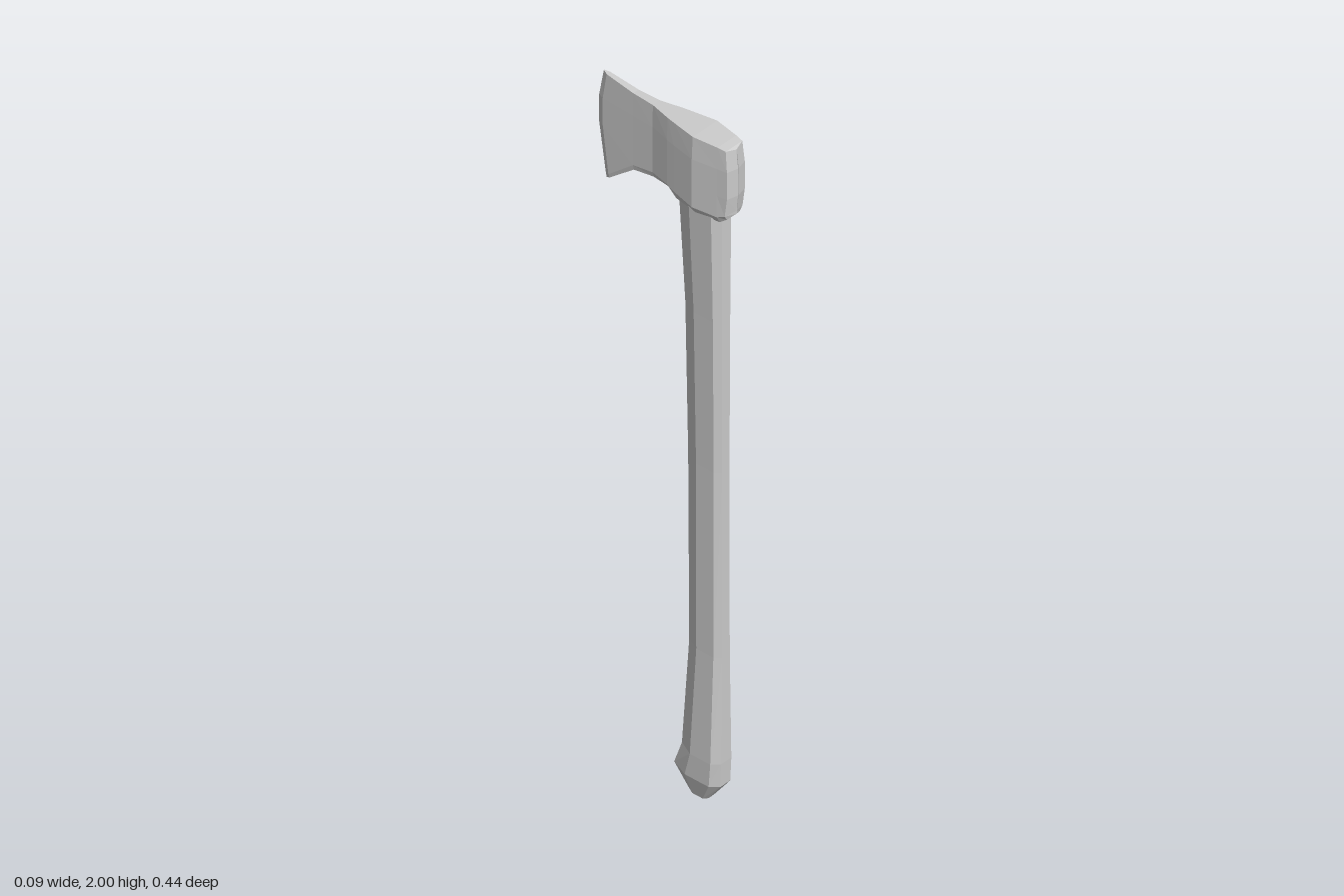
import * as THREE from 'three';

// Skin a list of closed rings (counterclockwise seen along the sweep) and cap both ends.
function loft(rings) {
  const pos = [];
  const tri = (...pts) => pts.forEach((p) => pos.push(...p));
  const n = rings[0].length;
  for (let i = 0; i < rings.length - 1; i++) {
    for (let j = 0; j < n; j++) {
      const k = (j + 1) % n;
      const [a, b, c, d] = [rings[i][j], rings[i][k], rings[i + 1][k], rings[i + 1][j]];
      tri(a, b, c);
      tri(a, c, d);
    }
  }
  const cap = (ring, flip) => {
    const mid = [0, 1, 2].map((k) => ring.reduce((s, p) => s + p[k], 0) / n);
    ring.forEach((p, j) => {
      const q = ring[(j + 1) % n];
      flip ? tri(mid, q, p) : tri(mid, p, q);
    });
  };
  cap(rings[0], true);
  cap(rings[rings.length - 1], false);
  const geo = new THREE.BufferGeometry();
  geo.setAttribute('position', new THREE.Float32BufferAttribute(pos, 3));
  geo.computeVertexNormals();
  return geo;
}

// Mirror one half of a ring across x = 0 to close it.
const mirrorRing = (half) => [...half, ...half.map(([x, y, z]) => [-x, y, z]).reverse()];

export function createModel() {
  const group = new THREE.Group();
  const material = new THREE.MeshStandardMaterial({ color: 0xcccccc, flatShading: true });
  const add = (name, geo) => {
    const mesh = new THREE.Mesh(geo, material);
    mesh.name = name;
    group.add(mesh);
  };

  // Handle: eight-sided sections, [y, front z, back z, half width]
  const handle = [
    [0.005, 0.135, 0.07, 0.02],
    [0.065, 0.18, 0.03, 0.036],
    [0.135, 0.183, 0.055, 0.037],
    [0.45, 0.182, 0.075, 0.028],
    [1.0, 0.182, 0.071, 0.026],
    [1.45, 0.183, 0.063, 0.029],
    [1.79, 0.184, 0.043, 0.034],
  ];
  add('handle', loft(handle.map(([y, f, b, w]) => {
    const d = f - b;
    return mirrorRing([
      [w * 0.5, y, f],
      [w, y, f - d * 0.14],
      [w, y, b + d * 0.35],
      [w * 0.4, y, b],
    ]);
  })));

  // Axe head: sections from cutting edge to poll,
  // [z, top y, side bottom y, underside y, half width, z offset of the two corners (top, bottom)]
  const head = [
    [-0.222, 2.0, 1.695, 1.685, 0.0006, 0.015, 0.024],
    [-0.205, 1.997, 1.702, 1.692, 0.007, 0.012, 0.02],
    [-0.105, 1.986, 1.772, 1.757, 0.0105, 0, 0],
    [-0.04, 1.985, 1.785, 1.77, 0.0135, 0, 0],
    [0.02, 1.985, 1.788, 1.776, 0.029, 0, 0],
    [0.045, 1.985, 1.782, 1.757, 0.034, 0, 0],
    [0.115, 1.985, 1.777, 1.755, 0.047, 0, 0],
    [0.185, 1.982, 1.776, 1.756, 0.036, 0, 0],
    [0.214, 1.979, 1.786, 1.772, 0.032, -0.006, -0.008],
    [0.222, 1.974, 1.792, 1.782, 0.001, -0.006, -0.006],
  ];
  add('axeHead', loft(head.map(([z, top, low, under, w, dzTop, dzLow]) => mirrorRing([
    [w * 0.72, under, z + dzLow],
    [w, low, z + dzLow * 0.9],
    [w, 1.84, z],
    [w, 1.92, z],
    [w * 0.93, top, z + dzTop],
  ]))));

  return group;
}
